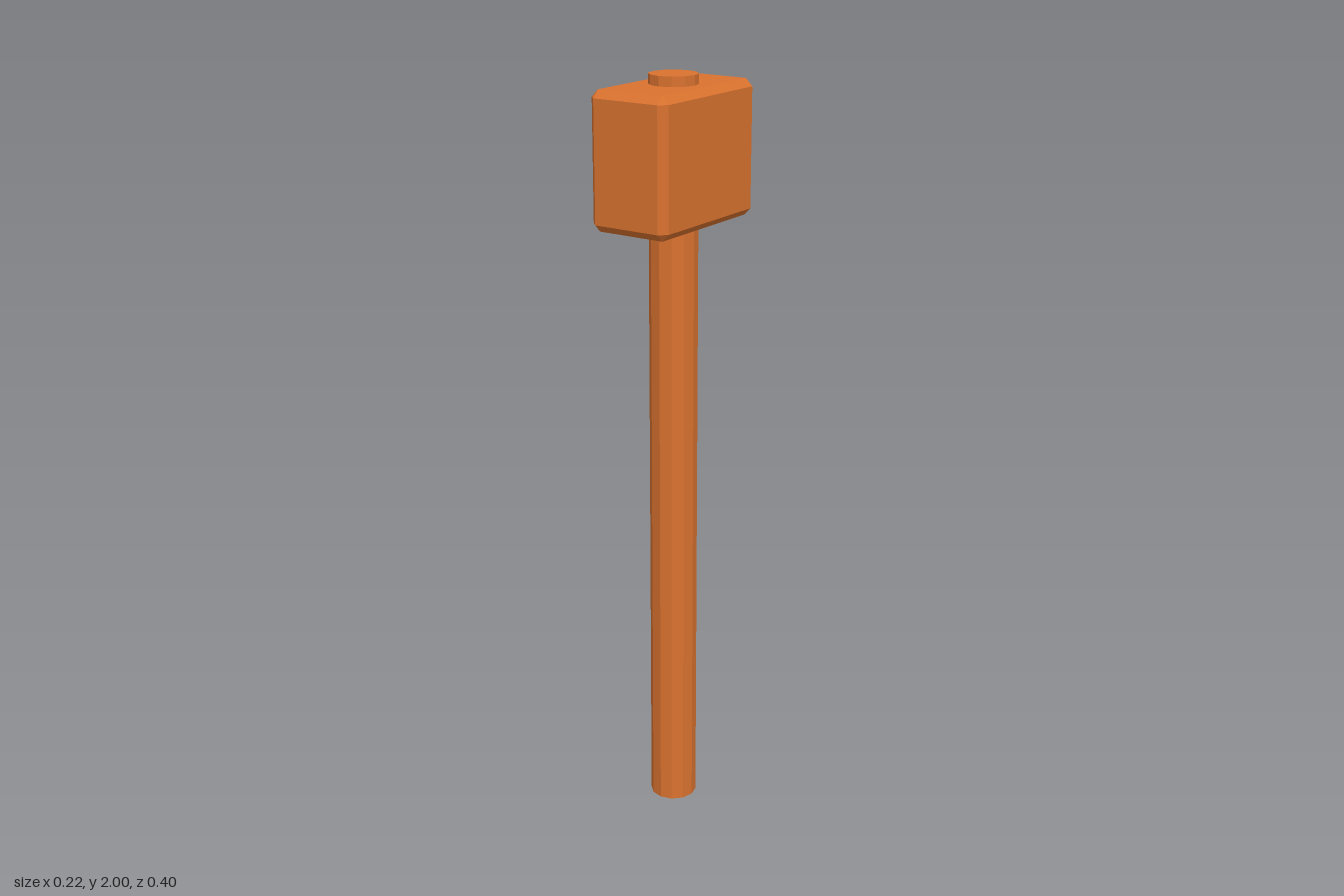
import * as THREE from 'three';
import { ConvexGeometry } from 'three/addons/geometries/ConvexGeometry.js';

// Box with every edge cut at 45 degrees, from half sizes and bevel width
function chamferedBox(hx, hy, hz, b) {
  const points = [];
  for (const sx of [-1, 1]) for (const sy of [-1, 1]) for (const sz of [-1, 1]) {
    points.push(
      new THREE.Vector3(sx * hx, sy * (hy - b), sz * (hz - b)),
      new THREE.Vector3(sx * (hx - b), sy * hy, sz * (hz - b)),
      new THREE.Vector3(sx * (hx - b), sy * (hy - b), sz * hz)
    );
  }
  return new ConvexGeometry(points);
}

export function createModel() {
  const model = new THREE.Group();
  model.name = 'mallet';

  const wood = new THREE.MeshStandardMaterial({ color: 0xd9722f, flatShading: true });
  wood.name = 'orange wood';

  // Twelve-sided shaft, running through the head and out of its top
  const handle = new THREE.Mesh(new THREE.CylinderGeometry(0.0625, 0.0625, 2, 12), wood);
  handle.name = 'handle';
  handle.position.y = 1;
  model.add(handle);

  // Bevelled block, longest from front to back
  const head = new THREE.Mesh(chamferedBox(0.1125, 0.1725, 0.2, 0.019), wood);
  head.name = 'head';
  head.position.y = 1.8025;
  model.add(head);

  return model;
}
